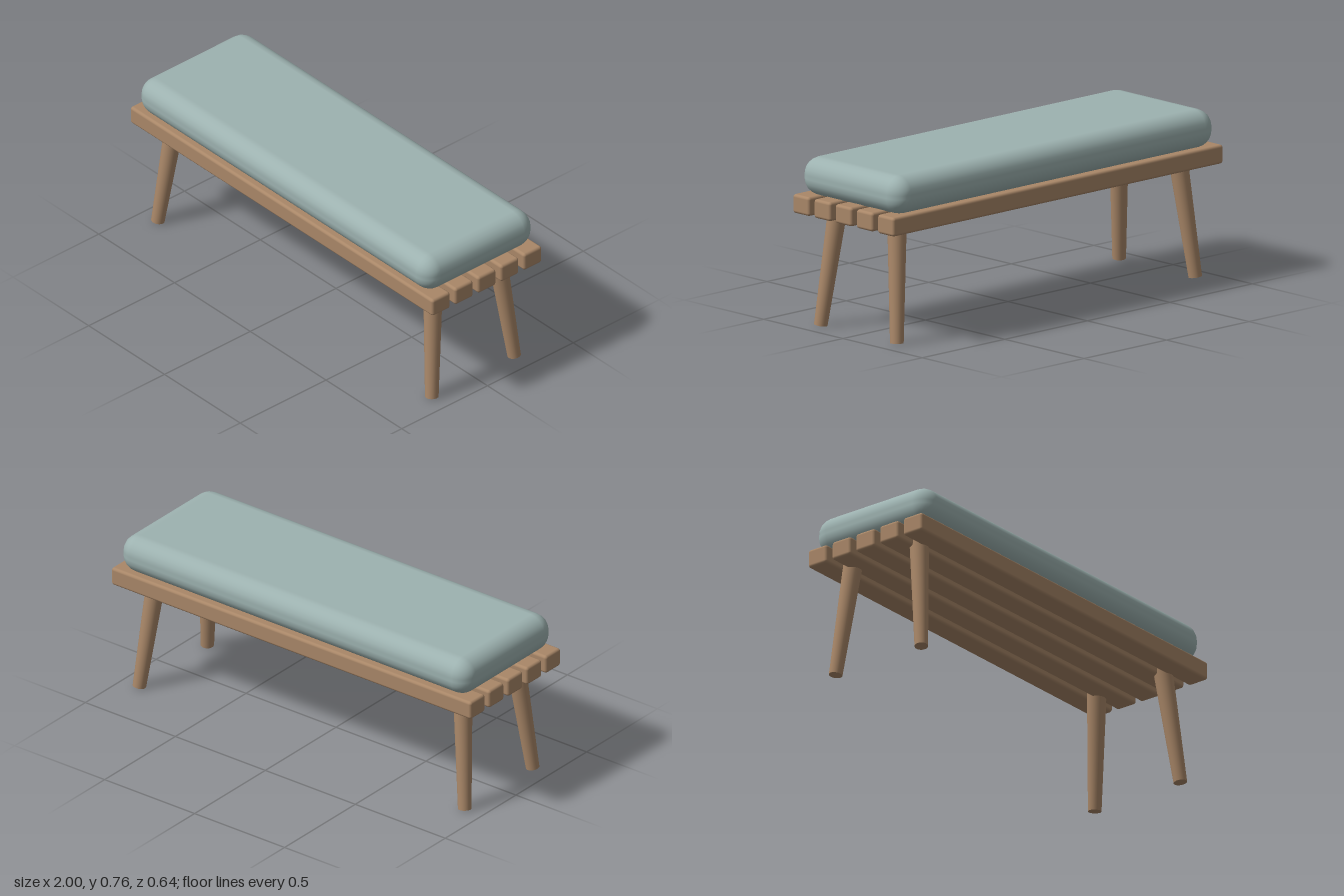
import * as THREE from 'three';
import { RoundedBoxGeometry } from 'three/addons/geometries/RoundedBoxGeometry.js';

export function createModel() {
  const bench = new THREE.Group();
  bench.name = 'bench';

  const wood = new THREE.MeshStandardMaterial({ color: 0xa98768 });
  wood.name = 'wood';
  const fabric = new THREE.MeshStandardMaterial({ color: 0x9db2b0 });
  fabric.name = 'fabric';

  const add = (name, geometry, material) => {
    const mesh = new THREE.Mesh(geometry, material);
    mesh.name = name;
    bench.add(mesh);
    return mesh;
  };

  // Five lengthwise slats with softened edges
  const slatGeometry = new RoundedBoxGeometry(2, 0.085, 0.105, 3, 0.013);
  for (let i = -2; i <= 2; i++) {
    add('slat', slatGeometry, wood).position.set(0, 0.5525, i * 0.1335);
  }

  // Seat cushion, resting slightly into the slats
  const cushionGeometry = new RoundedBoxGeometry(1.94, 0.173, 0.64, 3, 0.078);
  add('cushion', cushionGeometry, fabric).position.set(0, 0.6735, 0);

  // Four tapered legs, splayed outwards
  const up = new THREE.Vector3(0, 1, 0);
  for (const sx of [-1, 1]) {
    for (const sz of [-1, 1]) {
      const foot = new THREE.Vector3(sx * 0.904, 0.0045, sz * 0.24);
      const top = new THREE.Vector3(sx * 0.85, 0.543, sz * 0.185);
      const axis = top.clone().sub(foot);
      const leg = add('leg', new THREE.CylinderGeometry(0.043, 0.03, axis.length(), 24), wood);
      leg.position.copy(foot).add(top).multiplyScalar(0.5);
      leg.quaternion.setFromUnitVectors(up, axis.normalize());
    }
  }

  return bench;
}
